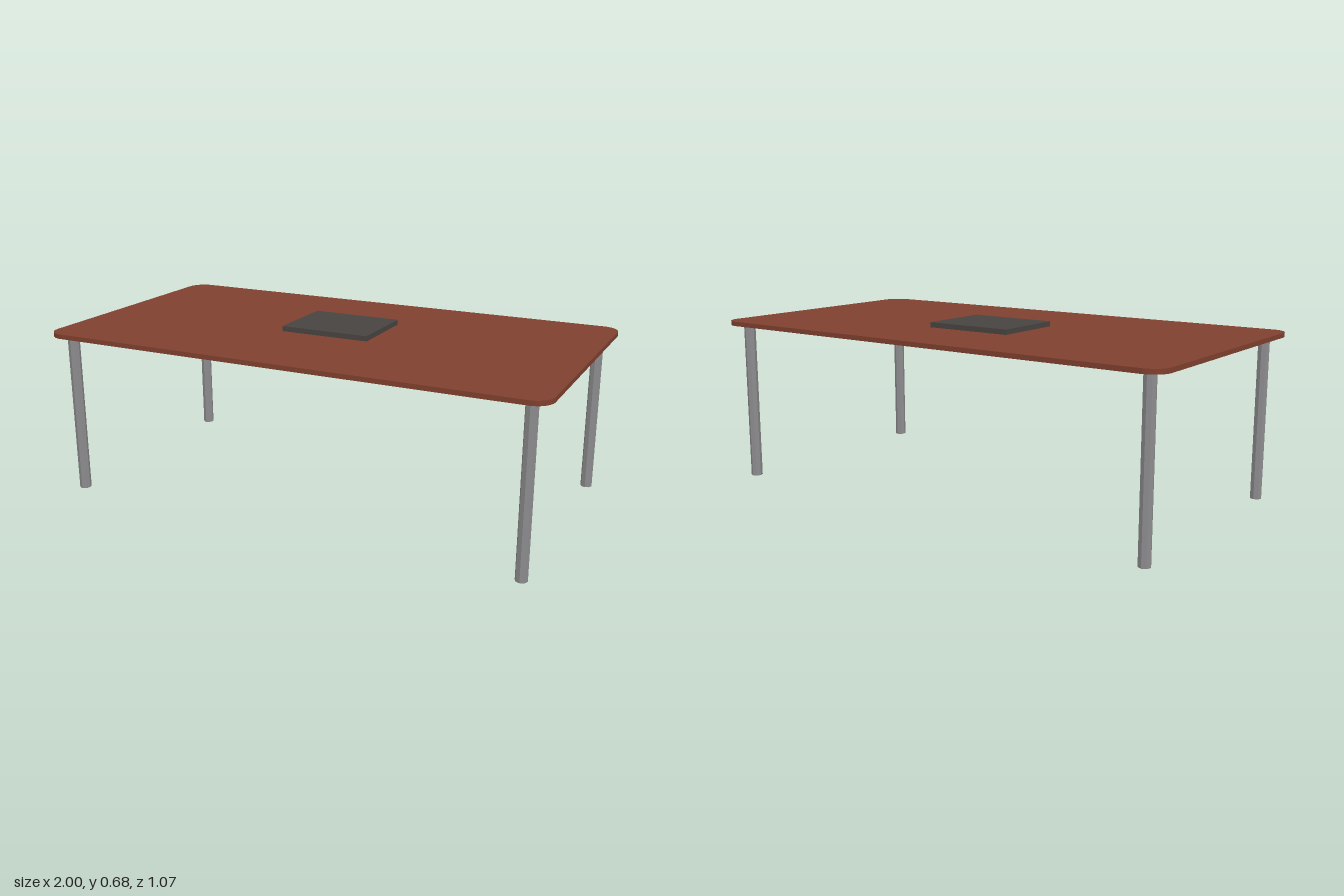
import * as THREE from 'three';

const material = (color) => new THREE.MeshStandardMaterial({ color, flatShading: true });

// Rectangle with rounded corners, centred on the origin
function roundedRect(width, depth, radius) {
  const x = width / 2 - radius, y = depth / 2 - radius;
  const shape = new THREE.Shape();
  shape.absarc(x, y, radius, 0, Math.PI / 2);
  shape.absarc(-x, y, radius, Math.PI / 2, Math.PI);
  shape.absarc(-x, -y, radius, Math.PI, Math.PI * 1.5);
  shape.absarc(x, -y, radius, Math.PI * 1.5, Math.PI * 2);
  shape.closePath();
  return shape;
}

export function createModel() {
  const model = new THREE.Group();
  model.name = 'table';

  const add = (name, geometry, mat, x, y, z) => {
    const mesh = new THREE.Mesh(geometry, mat);
    mesh.name = name;
    mesh.position.set(x, y, z);
    model.add(mesh);
  };

  // Thin wooden top with rounded corners
  const bottom = 0.643, thickness = 0.018;
  const top = new THREE.ExtrudeGeometry(roundedRect(2, 1.068, 0.07), {
    depth: thickness, bevelEnabled: false, curveSegments: 8,
  });
  top.rotateX(-Math.PI / 2);
  add('tableTop', top, material(0x7f402e), 0, bottom, 0);

  // Dark flat pad lying slightly behind the middle
  add('pad', new THREE.BoxGeometry(0.364, 0.02, 0.299), material(0x484440),
    -0.003, bottom + thickness + 0.01, -0.046);

  // Four eight-sided metal legs
  const leg = new THREE.CylinderGeometry(0.023, 0.023, bottom, 8);
  const metal = material(0x8c8c8e);
  for (const [xName, x] of [['Left', 0.926], ['Right', -0.926]]) {
    for (const [zName, z] of [['front', 0.463], ['back', -0.463]]) {
      add(`${zName}${xName}Leg`, leg, metal, x, bottom / 2, z);
    }
  }
  return model;
}
